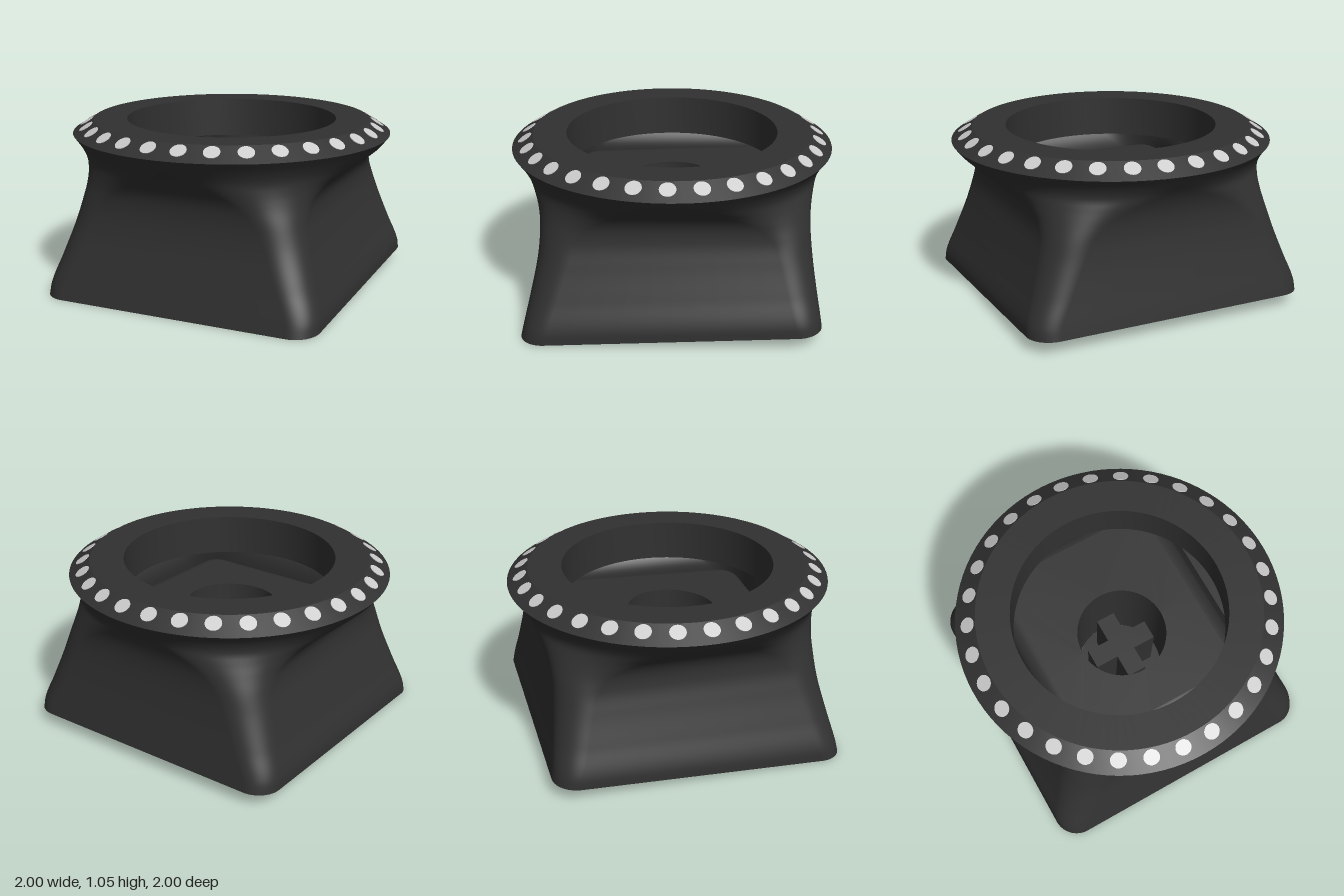
import * as THREE from 'three';
import { toCreasedNormals } from 'three/addons/utils/BufferGeometryUtils.js';

const TILT = 0.046; // slope of the base plane, rising toward the back
const ARC = 24;     // segments per rounded corner
const dark = new THREE.MeshStandardMaterial({ color: 0x313131, side: THREE.DoubleSide });
const grey = new THREE.MeshStandardMaterial({ color: 0xcccccc });

// Rounded rectangle at height y: half width, front z, back z, corner radius; k = share of base tilt
function section([y, hx, zf, zb, c], k) {
  const pts = [];
  const cz = (zf - zb) / 2, hz = (zf + zb) / 2, side = 10;
  const corner = (q, s) => {
    const a = (q + s) * Math.PI / 2;
    const sx = q === 0 || q === 3 ? 1 : -1, sz = q < 2 ? 1 : -1;
    const x = sx * (hx - c) + c * Math.cos(a);
    const z = cz + sz * (hz - c) + c * Math.sin(a);
    return new THREE.Vector3(x, y + k * TILT * (0.89 - z), z);
  };
  for (let q = 0; q < 4; q++) {
    for (let i = 0; i < ARC; i++) pts.push(corner(q, i / ARC));
    const a = corner(q, 1), b = corner((q + 1) % 4, 0);
    for (let i = 0; i < side; i++) pts.push(a.clone().lerp(b, i / side));
  }
  return pts;
}

// Skin closed rings of equal length; faces point outward when the rings go upward
function skin(rings) {
  const n = rings[0].length, index = [];
  for (let r = 0; r < rings.length - 1; r++) {
    for (let j = 0; j < n; j++) {
      const a = r * n + j, b = r * n + (j + 1) % n;
      index.push(a, a + n, b, b, a + n, b + n);
    }
  }
  const geo = new THREE.BufferGeometry().setFromPoints(rings.flat());
  geo.setIndex(index);
  geo.computeVertexNormals();
  return geo;
}

// Fill in a short list of sections with smooth in-between ones
function smoothRows(keys, count) {
  const spline = new THREE.CubicInterpolant(keys.map(k => k[0]), keys.flatMap(k => k.slice(1)), 4);
  const y0 = keys[0][0], y1 = keys[keys.length - 1][0];
  return Array.from({ length: count + 1 }, (_, i) => {
    const y = y0 + (y1 - y0) * i / count;
    return [y, ...spline.evaluate(y)];
  });
}

function crossPoints(half, arm) {
  const pts = [];
  for (let q = 0; q < 4; q++) {
    for (const [x, y] of [[half, -arm], [half, arm], [arm, arm]]) {
      pts.push(new THREE.Vector2(x, y).rotateAround(new THREE.Vector2(), q * Math.PI / 2));
    }
  }
  return pts;
}

export function createModel() {
  const model = new THREE.Group();
  const add = (name, geo, mat = dark, parent = model) => {
    const mesh = new THREE.Mesh(geo, mat);
    mesh.name = name;
    parent.add(mesh);
    return mesh;
  };

  // Outer shell: square skirt with crisp corners up to the neck, then a full round collar
  const outer = [
    [0, 0.895, 0.89, 0.915, 0.15],
    [0.07, 0.89, 0.874, 0.905, 0.155],
    [0.25, 0.832, 0.832, 0.878, 0.175],
    [0.45, 0.77, 0.792, 0.853, 0.2],
    [0.6, 0.735, 0.782, 0.843, 0.24],
    [0.7, 0.74, 0.797, 0.85, 0.35],
    [0.78, 0.787, 0.838, 0.873, 0.54],
    [0.84, 0.865, 0.887, 0.903, 0.76],
    [0.91, 0.947, 0.95, 0.953, 0.935],
    [0.975, 1, 1, 1, 1],
  ];
  add('outerShell', skin(smoothRows(outer, 50).map(r => section(r, 1 - r[0] / 0.975))));

  // Underside cavity: sloping walls, then a filleted edge to the ceiling
  const inner = [
    [0, 0.815, 0.81, 0.835, 0.08],
    [0.2, 0.75, 0.755, 0.795, 0.1],
    [0.4, 0.675, 0.7, 0.755, 0.13],
    [0.59, 0.62, 0.66, 0.735, 0.15],
  ];
  const fillet = Array.from({ length: 8 }, (_, i) => {
    const a = (i + 1) / 8 * Math.PI / 2, inset = 0.1 * (1 - Math.cos(a));
    return [0.59 + 0.1 * Math.sin(a), ...inner[3].slice(1).map(v => v - inset)];
  });
  const wallRows = [...smoothRows(inner, 16), ...fillet].reverse();
  add('cavityWalls', skin(wallRows.map(r => section(r, 1))));

  // Ceiling, open where the stem meets it
  const stemTop = [0.69, 0.28, 0.31, 0.25, 0.28];
  add('cavityCeiling', skin([section(stemTop, 1), section(wallRows[0], 1)]));

  // Flat rim joining shell and cavity
  add('baseRim', skin([section(inner[0], 1), section(outer[0], 1)]));

  // Stem tube, leaning with the base
  add('stemTube', skin([section([0, 0.28, 0.28, 0.28, 0.28], 1), section(stemTop, 1)]));

  // Stem end with cross-shaped socket
  const socket = new THREE.Group();
  socket.name = 'stemSocket';
  socket.position.y = TILT * 0.89;
  socket.rotation.x = Math.atan(TILT);
  model.add(socket);
  const cross = crossPoints(0.21, 0.062), depth = 0.45;
  const face = new THREE.Shape().absarc(0, 0, 0.28, 0, Math.PI * 2);
  face.holes.push(new THREE.Path(cross));
  add('stemEnd', new THREE.ShapeGeometry(face, ARC * 2).rotateX(Math.PI / 2), dark, socket);
  add('socketRoof', new THREE.ShapeGeometry(new THREE.Shape(cross)).rotateX(Math.PI / 2).translate(0, depth, 0), dark, socket);
  const walls = skin([depth, 0].map(y => cross.map(p => new THREE.Vector3(p.x, y, p.y))));
  add('socketWalls', toCreasedNormals(walls, 0.5), dark, socket);

  // Top ring: outer bevel, flat top and the wall of the round well
  const profile = [[1, 0.975], [0.87, 1.055], [0.66, 1.055], [0.66, 0.8]].map(p => new THREE.Vector2(...p));
  add('topRing', toCreasedNormals(new THREE.LatheGeometry(profile, ARC * 4), 0.4));

  // Inlaid dots around the bevel
  const dots = new THREE.Group();
  dots.name = 'dots';
  model.add(dots);
  const dotGeo = new THREE.CylinderGeometry(0.049, 0.049, 0.006, 24);
  dotGeo.rotateZ(-Math.atan2(0.08, 0.13)).translate(0.92, 1.0245, 0);
  for (let i = 0; i < 30; i++) {
    add('dot', dotGeo, grey, dots).rotation.y = i * Math.PI / 15;
  }
  return model;
}
